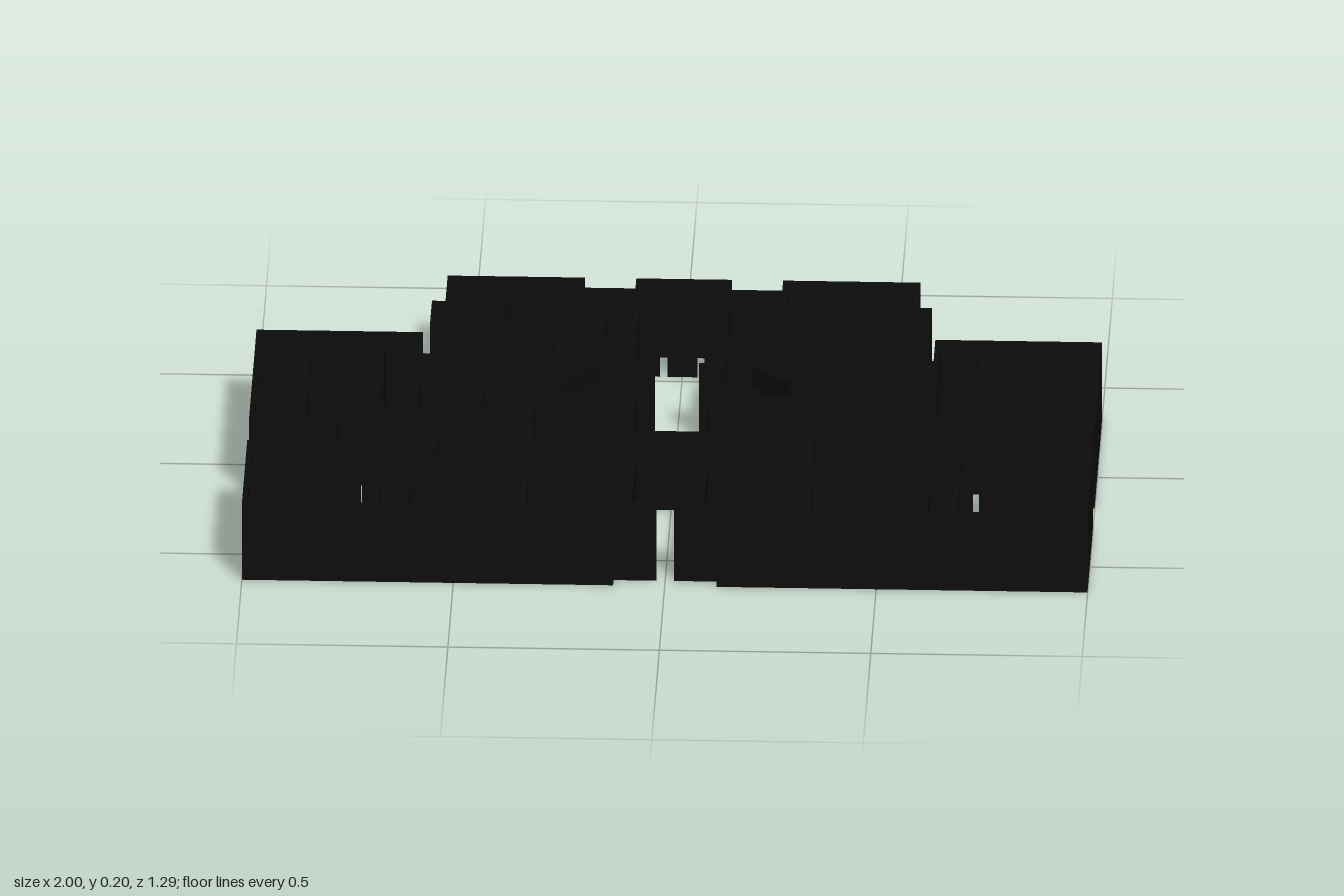
import * as THREE from 'three';

const UNIT = 187.2;      // plan units per model unit
const HEIGHT = 0.2;
const THICK = 2.3;       // wall thickness in plan units

// Each path is a flat list of x, z corners; x is measured outward from the centre line.
const halfPlan = {
  backWingWalls: [
    [103.5, -93, 103.5, -119.5, 45, -119.5, 45, -93],
    [109.5, -93, 79, -93, 79, -104],
    [79, -113, 79, -119.5],
    [109.5, -93, 109.5, -72.5, 45, -72.5],
    [109.5, -76, 106, -76, 106, -72.5],
    [66, -93, 34, -93, 34, -72.5],
    [45, -109, 20, -109],
  ],
  entranceRoomWalls: [
    [0, -119.5, 20, -119.5, 20, -72.5],
    [20, -99.5, 11, -99.5],
    [5.5, -99.5, 0, -99.5],
    [48, -57.5, 20, -57.5, 20, -32, 11, -32],
  ],
  linkWalls: [
    [73, -72.5, 73, -56.5, 57, -56.5],
    [57, -72.5, 57, -43.5, 34, -43.5, 34, -32, 52, -15, 62.5, -15, 62.5, -20.5, 114.5, -20.5, 114.5, 2.5],
    [86, -20.5, 86, 2.5],
  ],
  sideWingWalls: [
    [149.5, 31, 186, 31, 186, -60, 114.5, -60, 114.5, -38, 97.5, -38, 97.5, -20.5],
    [186, -32, 163.5, -32],
    [163.5, -60, 163.5, -47],
    [163.5, -38, 163.5, -25],
    [186, 0, 163.5, 0],
    [131, 2.5, 131, -14, 163.5, -14, 163.5, 10],
    [163.5, 23, 163.5, 31],
    [131, -60, 131, -32, 142, -32],
    [154, -32, 148, -32],
    [186, 26, 181, 26, 181, 31],
  ],
  frontWingWalls: [
    [149.5, 55.5, 149.5, 18.5, 62.5, 18.5, 62.5, 1, 37, 1],
    [138, 55.5, 186, 55.5, 186, 119, 24, 119, 24, 113.5, 11.5, 113.5],
    [9.5, 113.5, 5, 113.5],
    [62.5, 61, 62.5, 73, 128, 73, 128, 55.5, 104, 55.5, 104, 35, 62.5, 35, 62.5, 50, 52, 50],
    [46, 50, 37, 50, 37, 30],
    [37, 39.5, 0, 39.5],
    [16, 113.5, 16, 64, 49, 64, 49, 83.5, 63, 83.5, 63, 119],
    [68, 83.5, 63, 83.5],
    [186, 83.5, 166, 83.5],
    [154, 83.5, 141, 83.5],
    [134, 83.5, 128, 83.5, 128, 119],
    [94, 83.5, 115, 83.5, 115, 119],
    [83, 83.5, 77, 83.5],
    [186, 114.5, 181.5, 114.5, 181.5, 119],
  ],
};

// The two inner lobby corners are not quite symmetric, so they keep signed x values.
const lobbyWalls = [
  [-37, 1, -37, -6, -18, -6, -18, 27],
  [37, 1, 37, -6, 14, -6, 14, 27],
];

export function createModel() {
  const model = new THREE.Group();
  model.name = 'floorPlan';
  const wallBlack = new THREE.MeshStandardMaterial({ color: 0x0c0c0c });
  wallBlack.name = 'wallBlack';

  // One upright box per straight run, lengthened by half a thickness at each end
  function addWalls(name, paths, side) {
    const group = new THREE.Group();
    group.name = name;
    for (const p of paths) {
      for (let i = 0; i + 3 < p.length; i += 2) {
        const x0 = p[i] * side, z0 = p[i + 1], x1 = p[i + 2] * side, z1 = p[i + 3];
        const length = Math.hypot(x1 - x0, z1 - z0) + THICK;
        const wall = new THREE.Mesh(
          new THREE.BoxGeometry(length / UNIT, HEIGHT, THICK / UNIT), wallBlack);
        wall.name = 'wall';
        wall.position.set((x0 + x1) / 2 / UNIT, HEIGHT / 2, (z0 + z1) / 2 / UNIT);
        wall.rotation.y = -Math.atan2(z1 - z0, x1 - x0);
        group.add(wall);
      }
    }
    model.add(group);
  }

  // Mirrored halves
  for (const [label, side] of [['left', 1], ['right', -1]]) {
    for (const [name, paths] of Object.entries(halfPlan)) {
      addWalls(label + name[0].toUpperCase() + name.slice(1), paths, side);
    }
  }
  addWalls('lobbyWalls', lobbyWalls, 1);
  return model;
}
